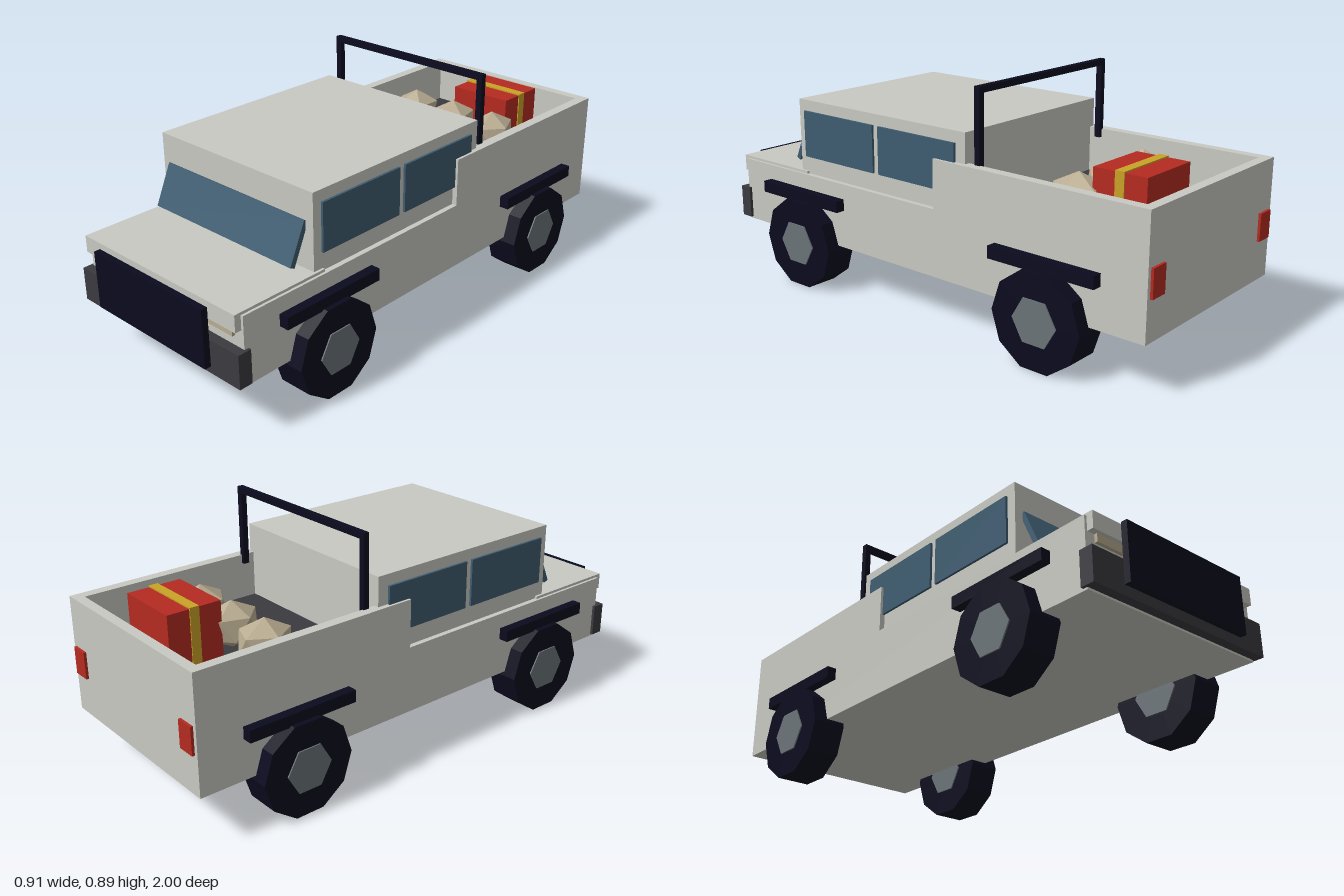
import * as THREE from 'three';

export function createModel() {
  const truck = new THREE.Group();
  truck.name = 'pickupTruck';

  const mat = (name, color) => {
    const m = new THREE.MeshStandardMaterial({ color, flatShading: true });
    m.name = name;
    return m;
  };
  const paint = mat('body paint', 0xc9c9c3);
  const black = mat('blue black', 0x0b0b1f);
  const charcoal = mat('charcoal', 0x3b3a3f);
  const glass = mat('glass', 0x3e5d71);
  const steel = mat('hub steel', 0x6b7378);
  const red = mat('red', 0xb52a20);
  const gold = mat('gold', 0xc9a227);
  const canvas = mat('canvas', 0xb9ac91);

  const add = (name, geometry, material, x = 0, y = 0, z = 0) => {
    const mesh = new THREE.Mesh(geometry, material);
    mesh.name = name;
    mesh.position.set(x, y, z);
    truck.add(mesh);
    return mesh;
  };
  // Box given by its extents on each axis
  const box = (name, material, [x0, x1], [y0, y1], [z0, z1]) =>
    add(name, new THREE.BoxGeometry(x1 - x0, y1 - y0, z1 - z0), material,
      (x0 + x1) / 2, (y0 + y1) / 2, (z0 + z1) / 2);
  // The same box on both sides of the truck
  const pair = (name, material, [x0, x1], ys, zs) => {
    box(name + 'Left', material, [x0, x1], ys, zs);
    box(name + 'Right', material, [-x1, -x0], ys, zs);
  };

  // Body, hood and cabin
  box('chassis', paint, [-0.395, 0.395], [0.187, 0.44], [-0.99, 0.935]);
  box('hood', paint, [-0.385, 0.385], [0.387, 0.45], [0.57, 0.96]);
  box('cabin', paint, [-0.375, 0.375], [0.44, 0.732], [-0.243, 0.61]);

  // Glass
  const windshield = add('windshield', new THREE.BoxGeometry(0.682, 0.162, 0.02), glass, 0, 0.55, 0.64);
  windshield.rotation.x = -0.42;
  pair('frontWindow', glass, [0.376, 0.385], [0.51, 0.69], [0.2, 0.575]);
  pair('rearWindow', glass, [0.376, 0.385], [0.51, 0.69], [-0.2, 0.172]);

  // Cargo bed
  pair('bedWall', paint, [0.355, 0.395], [0.44, 0.622], [-0.99, -0.11]);
  box('tailgate', paint, [-0.355, 0.355], [0.44, 0.622], [-0.99, -0.952]);
  box('bedFloor', charcoal, [-0.355, 0.355], [0.44, 0.449], [-0.952, -0.243]);

  // Roll bar
  pair('rollBarPost', black, [0.34, 0.363], [0.59, 0.87], [-0.297, -0.274]);
  box('rollBarTop', black, [-0.363, 0.363], [0.87, 0.893], [-0.297, -0.274]);

  // Front end and lights
  box('bumper', charcoal, [-0.406, 0.406], [0.195, 0.32], [0.918, 0.97]);
  box('grilleGuard', black, [-0.278, 0.278], [0.227, 0.442], [0.976, 1]);
  pair('headlight', canvas, [0.235, 0.355], [0.357, 0.42], [0.9, 0.947]);
  pair('tailLight', red, [0.31, 0.38], [0.335, 0.437], [-1, -0.98]);

  // Wheels and fenders
  for (const [end, z] of [['front', 0.57], ['rear', -0.605]]) {
    pair(end + 'Fender', black, [0.37, 0.432], [0.336, 0.381], [z - 0.215, z + 0.215]);
    for (const side of [1, -1]) {
      const label = side > 0 ? 'Left' : 'Right';
      const tire = new THREE.CylinderGeometry(0.18, 0.18, 0.128, 10).rotateZ(Math.PI / 2);
      const hub = new THREE.CylinderGeometry(0.09, 0.09, 0.138, 6).rotateZ(Math.PI / 2);
      add(end + 'Tire' + label, tire, black, side * 0.386, 0.171, z);
      add(end + 'Hub' + label, hub, steel, side * 0.386, 0.171, z);
    }
  }

  // Cargo: three sacks and a strapped crate
  for (let i = 0; i < 3; i++) {
    const sack = new THREE.IcosahedronGeometry(1, 0)
      .rotateZ(0.5536)
      .rotateY(i * 0.25)
      .scale(0.092, 0.088, 0.108);
    add('sack' + (i + 1), sack, canvas, (i - 1) * 0.195, 0.536, -0.587);
  }
  box('crate', red, [-0.044, 0.214], [0.449, 0.655], [-0.863, -0.655]);
  box('crateStrap', gold, [-0.048, 0.218], [0.449, 0.66], [-0.778, -0.742]);

  return truck;
}
